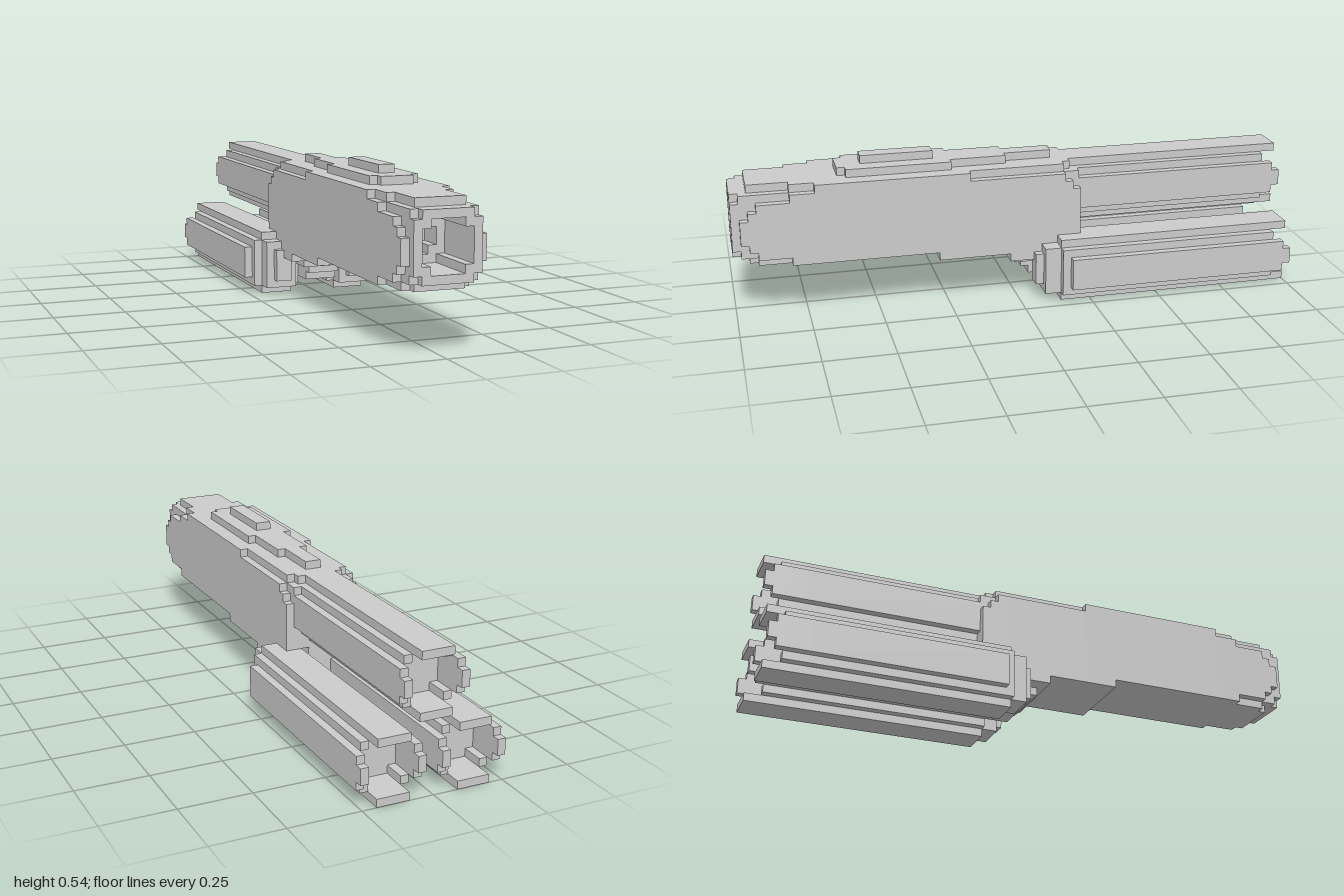
import * as THREE from 'three';

const UNIT = 2 / 70; // one block; all sizes below are in blocks
const material = new THREE.MeshStandardMaterial({ color: 0xcccccc, flatShading: true });

// Stepped outline, mirrored about cx, from rows of [half width, bottom, top]
function outline(rows, cx, cy, PathType) {
  const right = rows.flatMap(([w, a, b]) => [[w, a], [w, b]]);
  const left = [...right].reverse().map(([w, y]) => [-w, y]);
  return new PathType([...right, ...left].map(([x, y]) => new THREE.Vector2(cx + x, cy + y)));
}

// Prism between two z planes, with an optional hole of the same row format
function slab(parent, name, rows, z0, z1, { cx = 0, cy = 0, hole } = {}) {
  const shape = outline(rows, cx, cy, THREE.Shape);
  if (hole) shape.holes.push(outline(hole, cx, cy, THREE.Path));
  const geometry = new THREE.ExtrudeGeometry(shape, { depth: z1 - z0, bevelEnabled: false });
  geometry.translate(0, 0, z0);
  const mesh = new THREE.Mesh(geometry, material);
  mesh.name = name;
  parent.add(mesh);
}

const DISC4 = [[2, -4, -3], [3, -3, -2], [4, -2, 2], [3, 2, 3], [2, 3, 4]];
const DISC3 = [[2, -3, -2], [3, -2, 2], [2, 2, 3]];

// Blocky round engine: solid barrel, hollow nozzle and four projecting lips
function engine(name, cx, cy, front) {
  const g = new THREE.Group();
  g.name = name;
  const at = { cx, cy };
  slab(g, 'barrel', DISC4, -30, front, at);
  slab(g, 'nozzle', DISC4, -33, -30, { cx, cy, hole: DISC3 });
  for (const s of [-1, 1]) {
    const y = s > 0 ? 3 : -4;
    slab(g, 'nozzleLip', [[2, y, y + 1]], -35, -33, at);
    const side = { cx: cx + s * 3.5, cy };
    slab(g, 'nozzleLip', [[0.5, -2, 2]], -34, -33, side);
    slab(g, 'nozzleLip', [[0.5, -1, 1]], -35, -34, side);
  }
  return g;
}

export function createModel() {
  const model = new THREE.Group();
  model.name = 'spacecraft';
  model.scale.setScalar(UNIT);

  // Hull from nose to tail, with a recess in the nose
  const hull = new THREE.Group();
  hull.name = 'hull';
  const mouth = [[2, 9, 10], [3, 10, 14], [2, 14, 15]];
  const throat = [[1, 10, 11], [2, 11, 13], [1, 13, 14]];
  const sections = [
    [34, 35, [[3, 8, 9], [4, 9, 15], [3, 15, 16]], mouth],
    [33, 34, [[4, 8, 10], [5, 10, 13], [4, 13, 16]], mouth],
    [32, 33, [[3, 7, 8], [4, 8, 9], [5, 9, 14], [4, 14, 16], [3, 16, 17]], mouth],
    [28, 32, [[4, 7, 8], [5, 8, 15], [4, 15, 16], [3, 16, 17]], mouth],
    [25, 28, [[5, 7, 16], [4, 16, 17]], throat],
    [6, 25, [[5, 7, 17]]],
    [-5, 6, [[5, 7, 16], [4, 16, 17]]],
    [-6, -5, [[5, 7, 16], [4, 16, 17]]],
    [-7, -6, [[5, 8, 15], [4, 15, 16], [3, 16, 17]]],
    [-8, -7, [[5, 8, 14], [4, 14, 16], [2, 16, 17]]],
  ];
  for (const [z0, z1, rows, hole] of sections) slab(hull, 'hullSection', rows, z0, z1, { hole });
  model.add(hull);

  // Raised deck on the back of the hull
  slab(model, 'deckTip', [[2, 17, 18]], 21, 22);
  slab(model, 'deckFront', [[3, 17, 18]], 8, 21);
  slab(model, 'deckMiddle', [[2, 17, 18]], 1, 8);
  slab(model, 'deckTail', [[1, 17, 18]], -5, 1);
  slab(model, 'deckRidge', [[1, 18, 19]], 10, 19);

  // Stepped keel that carries the lower engines
  slab(model, 'keel', [[5, 6, 7]], -6, 10);
  slab(model, 'keelStep', [[5, 5, 6]], -6, 1);
  slab(model, 'keelStep', [[3, 4, 5]], -7, 0);
  slab(model, 'keelStep', [[2, 3, 4]], -8, -1);
  slab(model, 'strut', [[2, 2, 8]], -8, -2);

  // One upper engine and a mirrored pair below
  model.add(engine('upperEngine', 0, 13, -8));
  for (const s of [-1, 1]) {
    const cx = s * 5, cy = 4;
    const pod = engine(s > 0 ? 'leftEngine' : 'rightEngine', cx, cy, -6);
    slab(pod, 'engineNose', [[2, -4, -3], [3, -3, 3], [2, 3, 4]], -6, -5, { cx, cy });
    slab(pod, 'engineNose', [[2, -3, 3]], -5, -3, { cx, cy });
    slab(pod, 'engineNose', [[1, -2, 2]], -3, -2, { cx, cy });
    model.add(pod);
  }
  return model;
}
